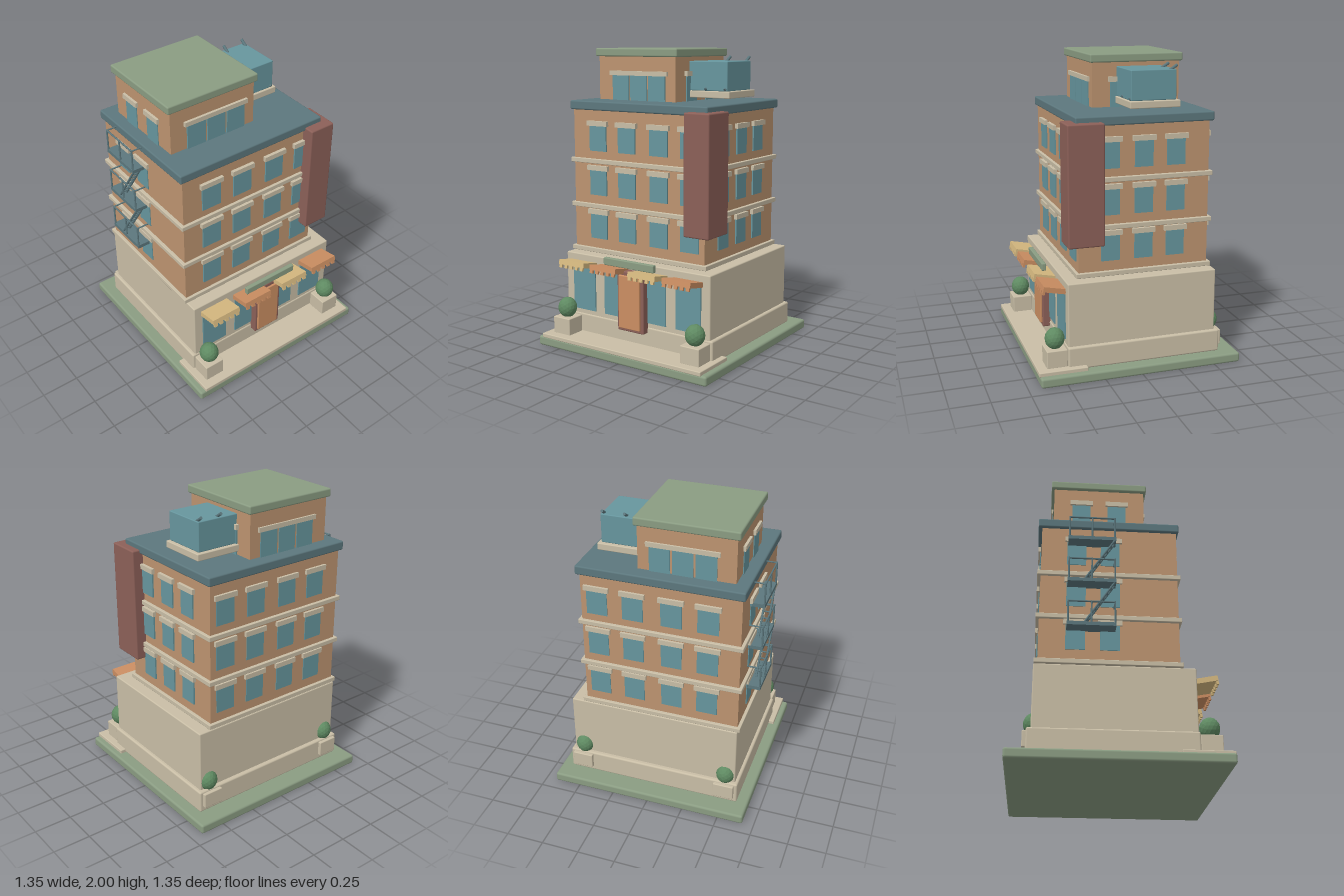
import * as THREE from 'three';
import { RoundedBoxGeometry } from 'three/addons/geometries/RoundedBoxGeometry.js';

const mat = (name, color, flatShading = false) => {
  const m = new THREE.MeshStandardMaterial({ color, flatShading });
  m.name = name;
  return m;
};

export function createModel() {
  const root = new THREE.Group();
  root.name = 'cornerBuilding';

  const stone = mat('stone', 0xc9bea6);
  const brick = mat('brick', 0xbd9470);
  const glass = mat('glass', 0x67969e);
  const slate = mat('slate', 0x5c777d);
  const sage = mat('sage', 0x8a9c82);
  const maroon = mat('maroon', 0x8c6058);
  const orange = mat('orange', 0xcb8e62);
  const yellow = mat('yellow', 0xd6b980);
  const leaf = mat('leaf', 0x5f8a62, true);

  // Box given by its limits on each axis; r rounds the edges
  const box = (name, m, [x0, x1], [y0, y1], [z0, z1], r = 0, parent = root) => {
    const s = [x1 - x0, y1 - y0, z1 - z0];
    const geo = r ? new RoundedBoxGeometry(...s, 2, r) : new THREE.BoxGeometry(...s);
    const mesh = new THREE.Mesh(geo, m);
    mesh.name = name;
    mesh.position.set((x0 + x1) / 2, (y0 + y1) / 2, (z0 + z1) / 2);
    parent.add(mesh);
    return mesh;
  };

  // Round bar between two points
  const bar = (name, m, a, b, r, parent = root) => {
    const p = new THREE.Vector3(...a), q = new THREE.Vector3(...b);
    const d = q.clone().sub(p);
    const mesh = new THREE.Mesh(new THREE.CylinderGeometry(r, r, d.length(), 8), m);
    mesh.name = name;
    mesh.position.copy(p).add(q).multiplyScalar(0.5);
    mesh.quaternion.setFromUnitVectors(new THREE.Vector3(0, 1, 0), d.normalize());
    parent.add(mesh);
    return mesh;
  };

  // Plate on a wall: axis 'x' or 'z', wall position, outward sign, centre along the wall
  const onWall = (name, m, axis, wall, sign, c, w, y, out) => {
    const depth = [wall - 0.005, wall + sign * out].sort((a, b) => a - b);
    const along = [c - w / 2, c + w / 2];
    if (axis === 'z') box(name, m, along, y, depth);
    else box(name, m, depth, y, along);
  };
  const windowAt = (axis, wall, sign, c, w, y0, y1, lintel = true) => {
    onWall('window', glass, axis, wall, sign, c, w, [y0, y1], 0.01);
    if (lintel) onWall('windowLintel', stone, axis, wall, sign, c, w + 0.03, [y1, y1 + 0.033], 0.022);
  };

  // Site and ground floor
  box('baseSlab', sage, [-0.675, 0.675], [0, 0.065], [-0.675, 0.67], 0.015);
  box('pavement', stone, [-0.637, 0.637], [0.06, 0.09], [0.357, 0.674], 0.006);
  box('plinth', stone, [-0.6, 0.6], [0.065, 0.215], [-0.553, 0.476], 0.012);
  box('groundFloor', stone, [-0.578, 0.578], [0.2, 0.63], [-0.526, 0.47], 0.008);

  // Shop windows
  for (const x of [-0.42, -0.155, 0.155, 0.42])
    onWall('shopWindow', glass, 'z', 0.47, 1, x, 0.187, [0.245, 0.56], 0.008);

  // Entrance
  box('doorFrame', maroon, [-0.105, 0.105], [0.175, 0.578], [0.46, 0.522], 0.008);
  box('door', orange, [-0.088, 0.082], [0.195, 0.552], [0.51, 0.535], 0.006);
  box('entranceBoard', sage, [-0.2, 0.2], [0.605, 0.655], [0.515, 0.545], 0.006);

  // Awnings, tilted up to the front, each with a row of tabs
  [-0.42, -0.157, 0.153, 0.418].forEach((x, i) => {
    const m = i % 2 ? orange : yellow;
    const awning = new THREE.Group();
    awning.name = 'awning';
    awning.position.set(x, 0.58, 0.54);
    awning.rotation.x = -0.2;
    root.add(awning);
    box('awningPanel', m, [-0.106, 0.106], [-0.017, 0.017], [-0.073, 0.073], 0, awning);
    for (let k = -2; k <= 2; k++)
      box('awningTab', m, [k * 0.044 - 0.012, k * 0.044 + 0.012], [-0.038, -0.015], [0.058, 0.073], 0, awning);
  });

  // Planters with bushes
  for (const sx of [-1, 1]) {
    for (const z of [0.545, -0.508]) {
      const x = sx * (z > 0 ? 0.517 : 0.507);
      box('planter', stone, [x - 0.07, x + 0.07], [z > 0 ? 0.085 : 0.1, 0.203], [z - 0.067, z + 0.067], 0.006);
      const bush = new THREE.Mesh(new THREE.IcosahedronGeometry(0.064, 2), leaf);
      bush.name = 'bush';
      bush.scale.y = 1.1;
      bush.position.set(x, 0.262, z);
      root.add(bush);
    }
  }

  // Upper floors: brick body, stone bands, flat roof
  const X0 = -0.573, X1 = 0.475, Z0 = -0.502, Z1 = 0.373;
  box('upperFloors', brick, [X0, X1], [0.63, 1.6], [Z0, Z1]);
  for (const y of [0.63, 0.935, 1.24])
    box('stoneBand', stone, [X0 - 0.021, X1 + 0.021], [y, y + 0.031], [Z0 - 0.021, Z1 + 0.018], 0.004);
  box('roofSlab', slate, [-0.594, 0.498], [1.595, 1.655], [-0.526, 0.39], 0.01);

  for (const y of [0.728, 1.026, 1.324]) {
    for (const x of [-0.365, -0.127, 0.127, 0.365]) {
      windowAt('z', Z1, 1, x, 0.138, y, y + 0.168);
      windowAt('z', Z0, -1, x, 0.138, y, y + 0.168);
    }
    for (const z of [0.162, -0.06, -0.275]) windowAt('x', X1, 1, z, 0.122, y, y + 0.168);
    for (const z of [-0.06, -0.275]) windowAt('x', X0, -1, z, 0.122, y, y + 0.168);
  }

  // Corner sign
  box('cornerSign', maroon, [0.366, 0.551], [0.845, 1.62], [0.218, 0.455], 0.01);

  // Penthouse
  const P0 = -0.51, P1 = 0.115, Q0 = -0.43, Q1 = 0.17;
  box('penthouse', brick, [P0, P1], [1.64, 1.95], [Q0, Q1]);
  box('penthouseRoof', sage, [-0.532, 0.135], [1.945, 2], [-0.45, 0.187], 0.01);
  for (const [wall, sign] of [[Q1, 1], [Q0, -1]]) {
    for (const x of [-0.325, -0.177, -0.029])
      windowAt('z', wall, sign, x, 0.134, 1.655, 1.82, false);
    onWall('windowLintel', stone, 'z', wall, sign, -0.177, 0.47, [1.82, 1.85], 0.018);
  }
  for (const [wall, sign] of [[P0, -1], [P1, 1]])
    for (const z of [-0.247, -0.013]) windowAt('x', wall, sign, z, 0.12, 1.655, 1.82);

  // Roof tank on a platform with diagonal tie rods
  box('tankPlatform', stone, [0.1, 0.428], [1.68, 1.726], [-0.322, 0.015], 0.006);
  box('tank', glass, [0.1, 0.406], [1.726, 1.918], [-0.3, 0.004], 0.006);
  for (const x of [0.242, 0.39]) bar('tankRod', slate, [x, 1.735, 0.008], [x, 1.943, -0.308], 0.01);

  // Fire escape
  const escape = new THREE.Group();
  escape.name = 'fireEscape';
  root.add(escape);
  const E = -0.663, A = -0.325, B = -0.035;
  [0.855, 1.16, 1.465].forEach((y, i) => {
    box('escapePlatform', slate, [E - 0.005, X0], [y, y + 0.024], [A - 0.007, B + 0.007], 0, escape);
    for (const z of [A, (A + B) / 2, B])
      bar('escapePost', slate, [E, y, z], [E, y + 0.17, z], 0.006, escape);
    bar('escapeRail', slate, [E, y + 0.165, A], [E, y + 0.165, B], 0.006, escape);
    for (const z of [A, B])
      bar('escapeEndRail', slate, [E, y + 0.165, z], [X0, y + 0.165, z], 0.005, escape);
    // Flight of stairs up to the next platform
    if (i < 2)
      for (const x of [E + 0.004, E + 0.05])
        bar('escapeStringer', slate, [x, y + 0.02, A + 0.1], [x, y + 0.31, B], 0.007, escape);
    if (i < 2)
      for (let k = 1; k < 8; k++) {
        const t = k / 8, z = A + 0.1 + t * (B - A - 0.1);
        bar('escapeTread', slate, [E + 0.004, y + 0.02 + t * 0.29, z], [E + 0.05, y + 0.02 + t * 0.29, z], 0.005, escape);
      }
  });

  return root;
}
